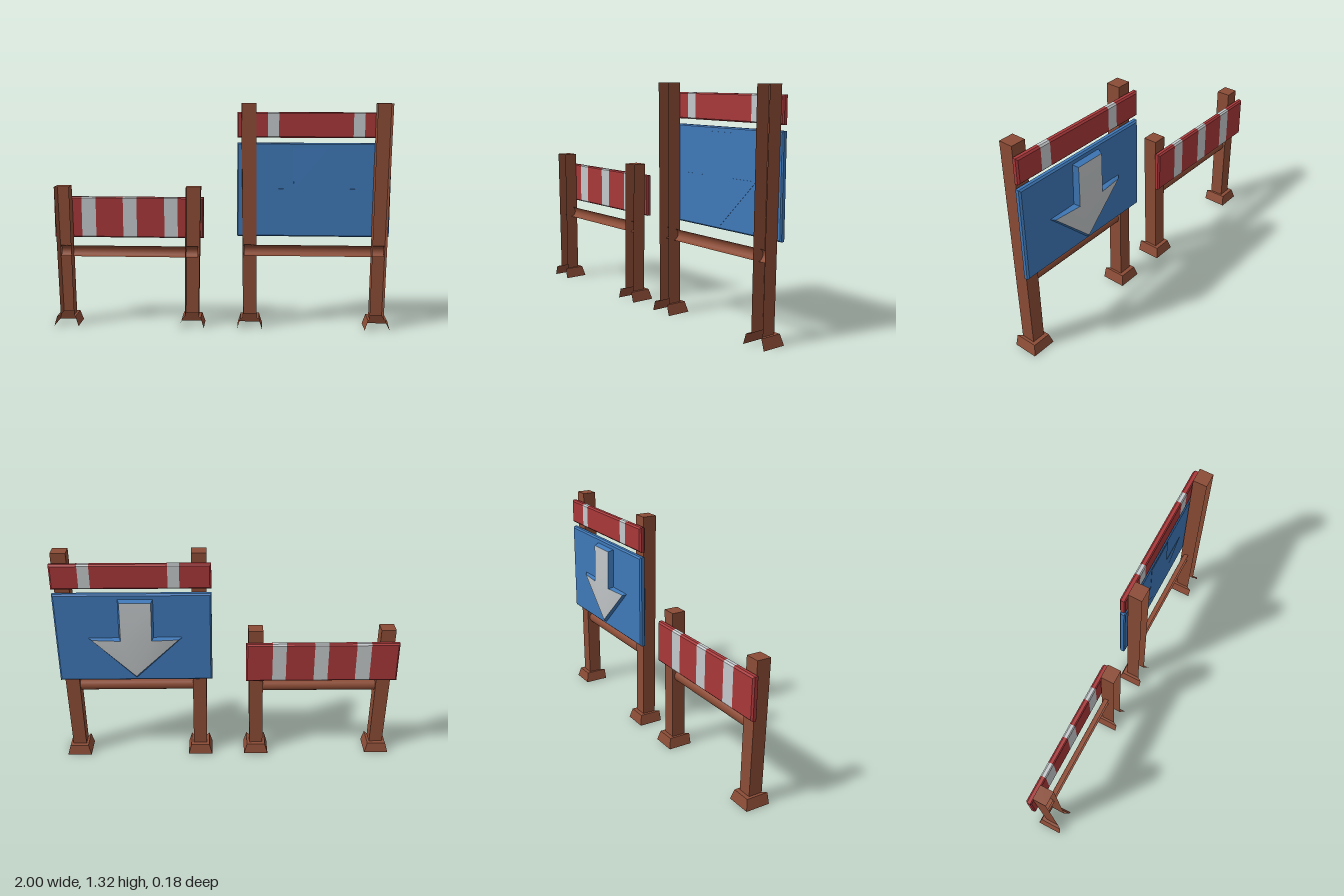
import * as THREE from 'three';

const mat = (name, color, side = THREE.FrontSide) => {
  const m = new THREE.MeshStandardMaterial({ color, side });
  m.name = name;
  return m;
};

// Skin a list of equal-length rings with flat quads; closed rings get end caps.
function loft(rings, { closed = true, capStart = closed, capEnd = closed } = {}) {
  const pos = [];
  const tri = (...pts) => pts.forEach((p) => pos.push(...p));
  const n = rings[0].length;
  for (let r = 0; r < rings.length - 1; r++) {
    const a = rings[r], b = rings[r + 1];
    for (let i = 0; i < (closed ? n : n - 1); i++) {
      const j = (i + 1) % n;
      tri(a[i], a[j], b[j]);
      tri(a[i], b[j], b[i]);
    }
  }
  const cap = (ring, flip) => {
    const flat = ring.map((p) => new THREE.Vector2(p[0], Math.abs(p[1] - ring[1][1]) + Math.abs(p[1] - ring[0][1]) + Math.abs(p[1] - ring[n - 1][1]) < 1e-6 ? p[2] : p[1]));
    for (const f of THREE.ShapeUtils.triangulateShape(flat, [])) {
      const [a, b, c] = f.map((i) => flat[i]);
      const ccw = (b.x - a.x) * (c.y - a.y) - (b.y - a.y) * (c.x - a.x) > 0;
      // Caps face backwards (-z) or upwards (+y), unless flipped.
      const t = ccw === flip ? f : [f[0], f[2], f[1]];
      tri(...t.map((i) => ring[i]));
    }
  };
  if (capStart) cap(rings[0], true);
  if (capEnd) cap(rings[rings.length - 1], false);
  const g = new THREE.BufferGeometry();
  g.setAttribute('position', new THREE.Float32BufferAttribute(pos, 3));
  g.computeVertexNormals();
  return g;
}

export function createModel() {
  const wood = mat('brown wood', 0x8b4c36, THREE.DoubleSide);
  const red = mat('red paint', 0xa83739);
  const white = mat('pale grey paint', 0xc4c8ca);
  const blue = mat('blue paint', 0x3e78b8);

  const model = new THREE.Group();
  const add = (parent, name, geometry, material) => {
    const m = new THREE.Mesh(geometry, material);
    m.name = name;
    parent.add(m);
    return m;
  };

  // Three-sided outline, open at the front.
  const channel = (cx, y, half, zBack, zFront) => [
    [cx + half, y, zFront], [cx + half, y, zBack], [cx - half, y, zBack], [cx - half, y, zFront],
  ];

  // Panel slab with bevelled rims; bevel0 / bevel1 switch the left and right ends.
  const slab = (x0, x1, y0, y1, bevel0 = 1, bevel1 = 1) => loft(
    [[-0.022, 0.007], [-0.028, 0], [-0.047, 0], [-0.056, 0.009]].map(([z, d]) => [
      [x0 + d * bevel0, y0 + d, z], [x0 + d * bevel0, y1 - d, z],
      [x1 - d * bevel1, y1 - d, z], [x1 - d * bevel1, y0 + d, z],
    ]));

  // Plank split along x into alternating red and pale bands.
  const stripedPlank = (parent, edges, y0, y1) => {
    const plank = new THREE.Group();
    plank.name = 'stripedPlank';
    for (let i = 0; i < edges.length - 1; i++) {
      add(plank, i % 2 ? 'paleBand' : 'redBand',
        slab(edges[i], edges[i + 1], y0, y1, i === 0 ? 1 : 0, i === edges.length - 2 ? 1 : 0),
        i % 2 ? white : red);
    }
    parent.add(plank);
  };

  // Two hollow posts with feet and a half-round cross rail.
  const frame = (name, cx, height, railY) => {
    const g = new THREE.Group();
    g.name = name;
    for (const s of [-1, 1]) {
      const foot = cx + s * 0.375, low = cx + s * 0.374, top = cx + s * 0.386;
      const base = channel(low, 0.06, 0.04, -0.018, 0.065);
      const head = channel(top, height, 0.043, -0.018, 0.065);
      add(g, 'post', loft([base, head], { closed: false, capEnd: true }), wood);
      add(g, 'foot', loft([
        channel(foot, 0, 0.073, -0.056, 0.09),
        channel(foot, 0.06, 0.055, -0.042, 0.09),
        base,
      ], { closed: false }), wood);
    }
    const rail = new THREE.CylinderGeometry(0.033, 0.033, 0.82, 8, 1, true, Math.PI / 2, Math.PI);
    rail.rotateZ(Math.PI / 2);
    add(g, 'rail', rail, wood).position.set(cx, railY, 0.028);
    model.add(g);
    return g;
  };

  // Low barrier
  const low = frame('lowBarrier', -0.547, 0.835, 0.447);
  stripedPlank(low, [-1, -0.835, -0.75, -0.587, -0.505, -0.34, -0.26, -0.105], 0.52, 0.765);

  // Tall sign
  const tall = frame('tallSign', 0.547, 1.32, 0.462);
  stripedPlank(tall, [0.093, 0.27, 0.335, 0.765, 0.83, 0.987], 1.12, 1.267);
  add(tall, 'board', slab(0.093, 0.987, 0.537, 1.09), blue);

  // Arrow outline: shaft top, right shoulder, tip, left shoulder
  const outline = [
    [0.42, 1.062], [0.622, 1.062], [0.628, 0.822], [0.81, 0.822],
    [0.537, 0.55], [0.255, 0.822], [0.425, 0.822],
  ];
  const raised = [
    [0.432, 1.05, -0.088], [0.61, 1.05, -0.088], [0.614, 0.813, -0.09], [0.782, 0.811, -0.073],
    [0.537, 0.572, -0.073], [0.284, 0.811, -0.073], [0.436, 0.813, -0.09],
  ];
  const at = (z) => outline.map(([x, y]) => [x, y, z]);
  add(tall, 'arrowSides', loft([at(-0.05), raised], { capStart: false, capEnd: false }), blue);
  add(tall, 'arrowInlay', loft([at(-0.0205), at(-0.024)]), blue);

  // Softly shaded raised arrow face
  const face = new THREE.BufferGeometry();
  face.setAttribute('position', new THREE.Float32BufferAttribute(raised.flat(), 3));
  face.setIndex([0, 1, 2, 0, 2, 6, 6, 2, 4, 2, 3, 4, 6, 4, 5]);
  face.computeVertexNormals();
  add(tall, 'arrowFace', face, white);

  return model;
}
